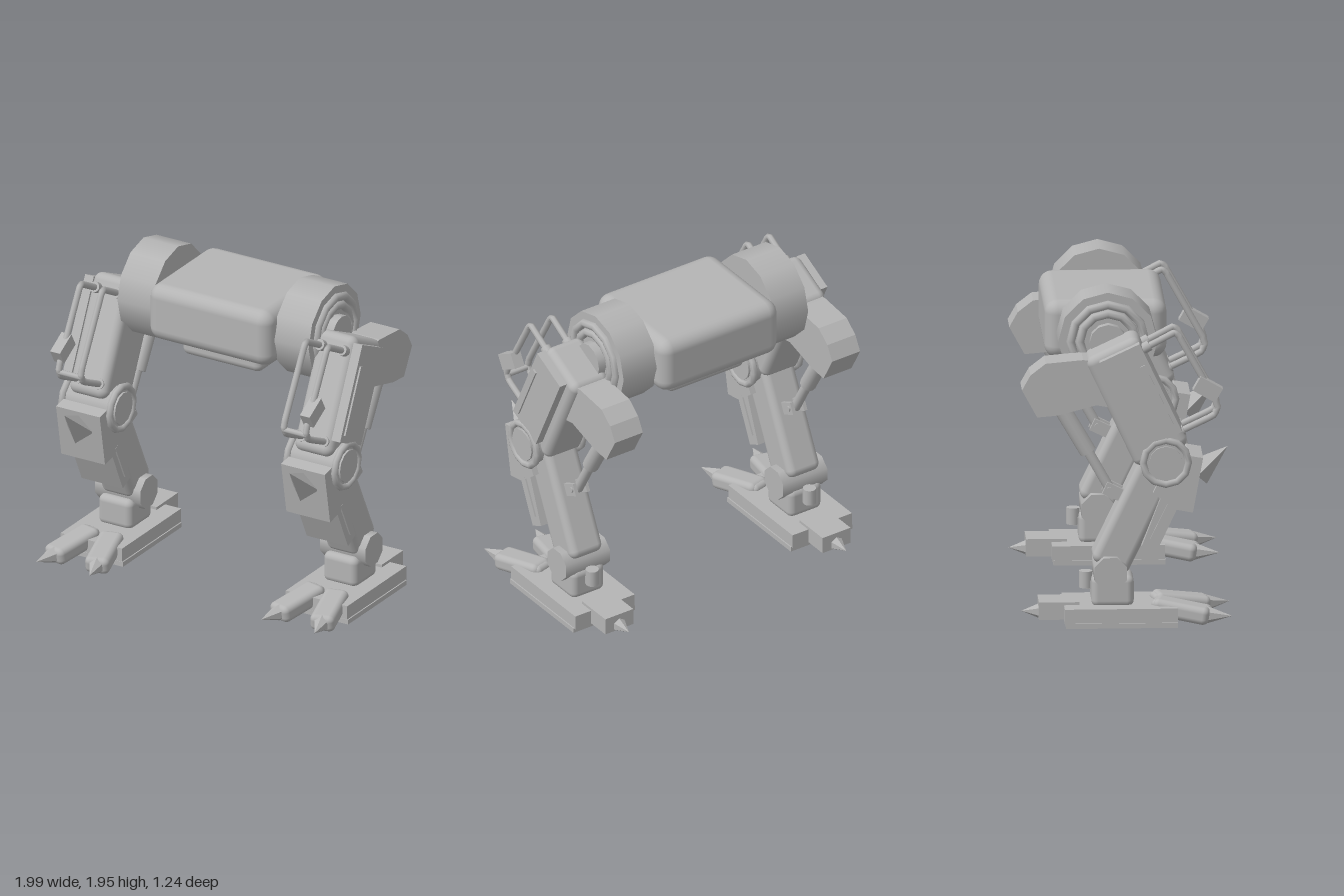
import * as THREE from 'three';
import { RoundedBoxGeometry } from 'three/addons/geometries/RoundedBoxGeometry.js';

const metal = new THREE.MeshStandardMaterial({ color: 0xb4b4b4 });
metal.name = 'grey metal';
const V = (x, y, z) => new THREE.Vector3(x, y, z);

function add(parent, name, geometry, pos = [0, 0, 0], rot = [0, 0, 0]) {
  const mesh = new THREE.Mesh(geometry, metal);
  mesh.name = name;
  mesh.position.set(...pos);
  mesh.rotation.set(...rot);
  parent.add(mesh);
  return mesh;
}
const box = (w, h, d) => new THREE.BoxGeometry(w, h, d);
const round = (w, h, d, r) => new RoundedBoxGeometry(w, h, d, 3, r);
// Cylinder and ring lying along x
const axle = (r, len, seg = 12, turn = 0) =>
  new THREE.CylinderGeometry(r, r, len, seg).rotateY(turn).rotateZ(Math.PI / 2);
const ring = (r, tube) => new THREE.TorusGeometry(r, tube, 8, 12).rotateY(Math.PI / 2);

// Rod or cone running from a to b
function rod(parent, name, a, b, r0, r1 = r0, seg = 12, flat = false) {
  const dir = b.clone().sub(a);
  let g = new THREE.CylinderGeometry(r1, r0, dir.length(), seg);
  if (flat) {
    g = g.toNonIndexed();
    g.computeVertexNormals();
  }
  const mesh = add(parent, name, g);
  mesh.position.copy(a).add(b).multiplyScalar(0.5);
  mesh.quaternion.setFromUnitVectors(V(0, 1, 0), dir.normalize());
}

// Side outline of [z, y] points, extruded across x and centred on x = 0
function slab(points, width) {
  const shape = new THREE.Shape(points.map(([z, y]) => new THREE.Vector2(-z, y)));
  return new THREE.ExtrudeGeometry(shape, { depth: width, bevelEnabled: false })
    .rotateY(Math.PI / 2).translate(-width / 2, 0, 0);
}

// s is +1 for the left leg and -1 for the right; local +x * s points outward
function makeLeg(s) {
  const leg = new THREE.Group();
  leg.name = s > 0 ? 'leftLeg' : 'rightLeg';
  leg.position.x = s * 0.777;
  const tilt = -0.44;

  // Thigh and its outer panel
  add(leg, 'thigh', round(0.262, 0.73, 0.345, 0.05), [0, 1.344, 0.057], [tilt, 0, 0]);
  add(leg, 'thighPanel', box(0.06, 0.59, 0.26), [s * 0.15, 1.39, 0.077], [tilt, 0, 0]);
  add(leg, 'panelStrip', box(0.012, 0.42, 0.03), [s * 0.185, 1.39, 0.176], [tilt, 0, 0]);

  // Front pipes with flanges, cross bar and valve box
  for (const x of [-0.076, 0.076]) {
    const path = new THREE.CurvePath();
    const pts = [[0.10, 1.66], [0.26, 1.745], [0.285, 1.757], [0.305, 1.735], [0.52, 1.345],
      [0.535, 1.30], [0.515, 1.255], [0.48, 1.235], [0.30, 1.15]].map(([z, y]) => V(x, y, z));
    for (let i = 1; i < pts.length; i++) path.add(new THREE.LineCurve3(pts[i - 1], pts[i]));
    add(leg, 'pipe', new THREE.TubeGeometry(path, 60, 0.02, 8, false));
    rod(leg, 'pipeFlange', V(x, 1.65, 0.08), V(x, 1.68, 0.135), 0.033);
    rod(leg, 'pipeFlange', V(x, 1.14, 0.28), V(x, 1.167, 0.335), 0.033);
  }
  add(leg, 'pipeCrossBar', axle(0.018, 0.16, 8), [0, 1.283, 0.53]);
  add(leg, 'valveBox', box(0.068, 0.095, 0.15), [s * 0.085, 1.416, 0.475], [0.52, 0, 0]);

  // Rear housing and piston
  add(leg, 'rearHousing', slab([[-0.05, 1.58], [-0.26, 1.60], [-0.48, 1.58], [-0.57, 1.51],
    [-0.62, 1.42], [-0.53, 1.255], [-0.41, 1.265], [-0.18, 1.325], [-0.05, 1.3]], 0.2));
  rod(leg, 'pistonSleeve', V(0, 1.32, -0.40), V(0, 1.02, -0.225), 0.05);
  rod(leg, 'pistonRod', V(0, 1.04, -0.235), V(0, 0.79, -0.095), 0.03);
  for (const x of [-0.04, 0.04])
    add(leg, 'pistonClevis', box(0.022, 0.075, 0.12), [x, 0.785, -0.075], [0.45, 0, 0]);
  add(leg, 'pistonPin', axle(0.018, 0.12, 8), [0, 0.8, -0.1]);

  // Knee joint
  add(leg, 'kneeAxle', axle(0.135, 0.34), [0, 0.99, 0.225]);
  for (const x of [-0.165, 0.165]) add(leg, 'kneeRing', ring(0.133, 0.022), [x, 0.99, 0.225]);
  add(leg, 'kneeCap', axle(0.1, 0.365), [0, 0.99, 0.225]);

  // Shin and armour
  add(leg, 'shin', round(0.225, 0.72, 0.235, 0.045), [0, 0.66, 0.045], [0.45, 0, 0]);
  add(leg, 'kneeArmour', slab([[0.445, 1.01], [0.385, 0.68], [0.28, 0.70], [0.15, 0.80],
    [0.25, 1.0], [0.36, 1.025]], 0.302));
  add(leg, 'shinArmour', slab([[0.31, 0.74], [0.17, 0.44], [0.085, 0.48], [0.20, 0.78]], 0.285));
  add(leg, 'shinStrip', box(0.305, 0.25, 0.028), [0, 0.63, 0.2], [0.45, 0, 0]);
  rod(leg, 'kneeSpike', V(0, 0.885, 0.415), V(0, 1.045, 0.597), 0.09, 0, 4, true);

  // Ankle
  add(leg, 'ankleAxle', axle(0.104, 0.315, 8, Math.PI / 8), [0, 0.315, -0.1]);
  add(leg, 'ankleBlock', round(0.235, 0.19, 0.25, 0.04), [0, 0.195, -0.085]);
  add(leg, 'ankleDamper', new THREE.CylinderGeometry(0.04, 0.04, 0.1, 12), [0, 0.25, -0.24]);
  add(leg, 'damperMount', box(0.06, 0.05, 0.08), [0, 0.22, -0.2]);

  // Foot: sole, deck and heel claw
  add(leg, 'sole', box(0.44, 0.03, 0.66), [0, 0.015, -0.035]);
  add(leg, 'footDeck', box(0.425, 0.09, 0.665), [0, 0.07, -0.04]);
  add(leg, 'heel', box(0.2, 0.105, 0.24), [0, 0.08, -0.4]);
  rod(leg, 'heelClaw', V(0, 0.06, -0.515), V(0, 0.06, -0.62), 0.045, 0, 6, true);

  // Splayed toes
  for (const side of [-1, 1]) {
    const toe = new THREE.Group();
    toe.name = 'toe';
    toe.position.set(side * 0.11, 0.08, 0.325);
    toe.rotation.y = side * 0.25;
    leg.add(toe);
    add(toe, 'toeBlock', round(0.15, 0.105, 0.34, 0.035), [0, 0, 0], [0.15, 0, 0]);
    add(toe, 'toeKnuckle', round(0.12, 0.09, 0.1, 0.03), [0, 0.02, -0.13]);
    rod(toe, 'toeClaw', V(0, -0.02, 0.15), V(0, -0.02, 0.3), 0.052, 0, 6, true);
  }
  return leg;
}

export function createModel() {
  const model = new THREE.Group();
  model.name = 'walkerLegs';

  // Pelvis
  add(model, 'pelvis', round(0.85, 0.355, 0.72, 0.08), [0, 1.665, -0.103]);
  add(model, 'bellyBlock', round(0.55, 0.24, 0.42, 0.045), [0, 1.49, -0.103]);

  for (const s of [-1, 1]) {
    // Hip drum with stepped rings on its outer face
    add(model, 'hipDrum', axle(0.293, 0.24), [s * 0.54, 1.66, -0.103]);
    add(model, 'hipRing', ring(0.22, 0.026), [s * 0.662, 1.66, -0.103]);
    add(model, 'hipRing', ring(0.165, 0.026), [s * 0.662, 1.66, -0.103]);
    add(model, 'hipHub', axle(0.11, 0.12), [s * 0.65, 1.66, -0.103]);
    model.add(makeLeg(s));
  }
  return model;
}
